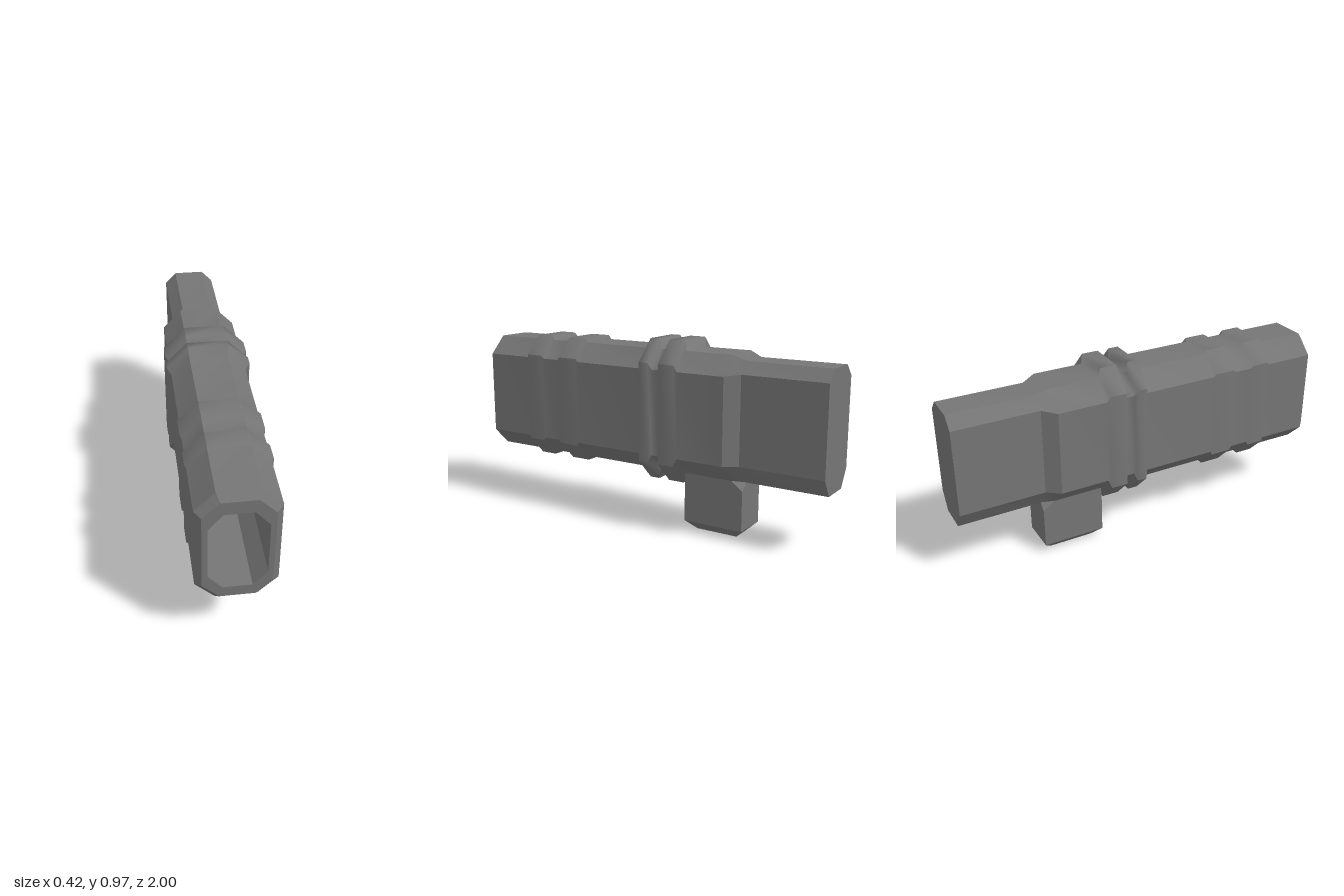
import * as THREE from 'three';
import { mergeGeometries } from 'three/addons/utils/BufferGeometryUtils.js';
import { ConvexGeometry } from 'three/addons/geometries/ConvexGeometry.js';

const material = new THREE.MeshStandardMaterial({ color: 0x757575 });

// How a section joins its neighbours along the barrel (the long edges are always sharp)
const SIDES_SHARP = 1, SHARP = 2;

// Chamfered-rectangle section: half width, half flat, bottom, top, bottom and top chamfer heights
function ring(z, [w, f, y0, y1, c0, c1]) {
  return [
    [-f, y0], [f, y0], [w, y0 + c0], [w, y1 - c1],
    [f, y1], [-f, y1], [-w, y1 - c1], [-w, y0 + c0],
  ].map(([x, y]) => [x, y, z]);
}

function surface(points, index) {
  const g = new THREE.BufferGeometry();
  g.setAttribute('position', new THREE.Float32BufferAttribute(points.flat(), 3));
  g.setIndex(index);
  g.computeVertexNormals();
  return g;
}

// Skin a list of [z, section, join], one strip per side of the octagon, and close both ends
function loft(sections) {
  const n = 8, parts = [];
  const rings = sections.map(([z, s]) => ring(z, s));
  for (let i = 0; i < n; i++) {
    const isSide = i % 4 === 2;
    const points = [], index = [];
    rings.forEach((r, k) => {
      const pair = [r[i], r[(i + 1) % n]];
      const join = sections[k][2];
      points.push(...pair);
      if (k > 0) {
        const a = points.length - 4;
        index.push(a, a + 2, a + 1, a + 1, a + 2, a + 3);
      }
      // Repeating the pair splits the normals here
      if (join === SHARP || (join === SIDES_SHARP && isSide)) points.push(...pair);
    });
    parts.push(surface(points, index));
  }
  const front = [], back = [];
  for (let i = 1; i < n - 1; i++) {
    front.push(0, i, i + 1);
    back.push(0, i + 1, i);
  }
  parts.push(surface(rings[0], front), surface(rings.at(-1), back));
  return mergeGeometries(parts);
}

export function createModel() {
  const group = new THREE.Group();
  const add = (name, geometry) => {
    const mesh = new THREE.Mesh(geometry, material);
    mesh.name = name;
    group.add(mesh);
  };

  const bore = [0.133, 0.067, 0.39, 0.824, 0.076, 0.079];
  const lip = [0.158, 0.08, 0.333, 0.89, 0.078, 0.077];
  const body = [0.188, 0.096, 0.302, 0.923, 0.092, 0.093];
  const band = [0.196, 0.098, 0.28, 0.944, 0.1, 0.098];
  const collar = [0.209, 0.101, 0.251, 0.973, 0.108, 0.109];
  const rear = [0.135, 0.078, 0.302, 0.897, 0.09, 0.058];

  // Hollow barrel: from the bottom of the bore, round the lip, back over the bands and collars
  add('barrel', loft([
    [0.2, bore], [1, bore, SHARP], [1, lip, SHARP], [0.97, body, SHARP],
    [0.7, body], [0.698, band], [0.605, band], [0.595, body],
    [0.5, body], [0.48, band], [0.37, band], [0.367, body],
    [-0.028, body], [-0.037, collar], [-0.089, collar], [-0.098, body],
    [-0.141, body], [-0.15, collar], [-0.236, collar], [-0.245, body],
    [-0.5, body, SIDES_SHARP], [-0.565, rear, SIDES_SHARP], [-1, rear],
  ]));

  // Peg below the barrel: bevelled foot, and the two rear corners cut where it meets the barrel
  const peg = [];
  for (const s of [-1, 1]) {
    for (const [x, y, z] of [
      [0.047, 0, -0.29], [0.047, 0, -0.515],
      [0.094, 0.048, -0.24], [0.094, 0.048, -0.565],
      [0.094, 0.255, -0.565], [0.094, 0.306, -0.5],
      [0.04, 0.306, -0.565], [0.094, 0.306, -0.24],
    ]) peg.push(new THREE.Vector3(s * x, y, z));
  }
  add('peg', new ConvexGeometry(peg));

  return group;
}
